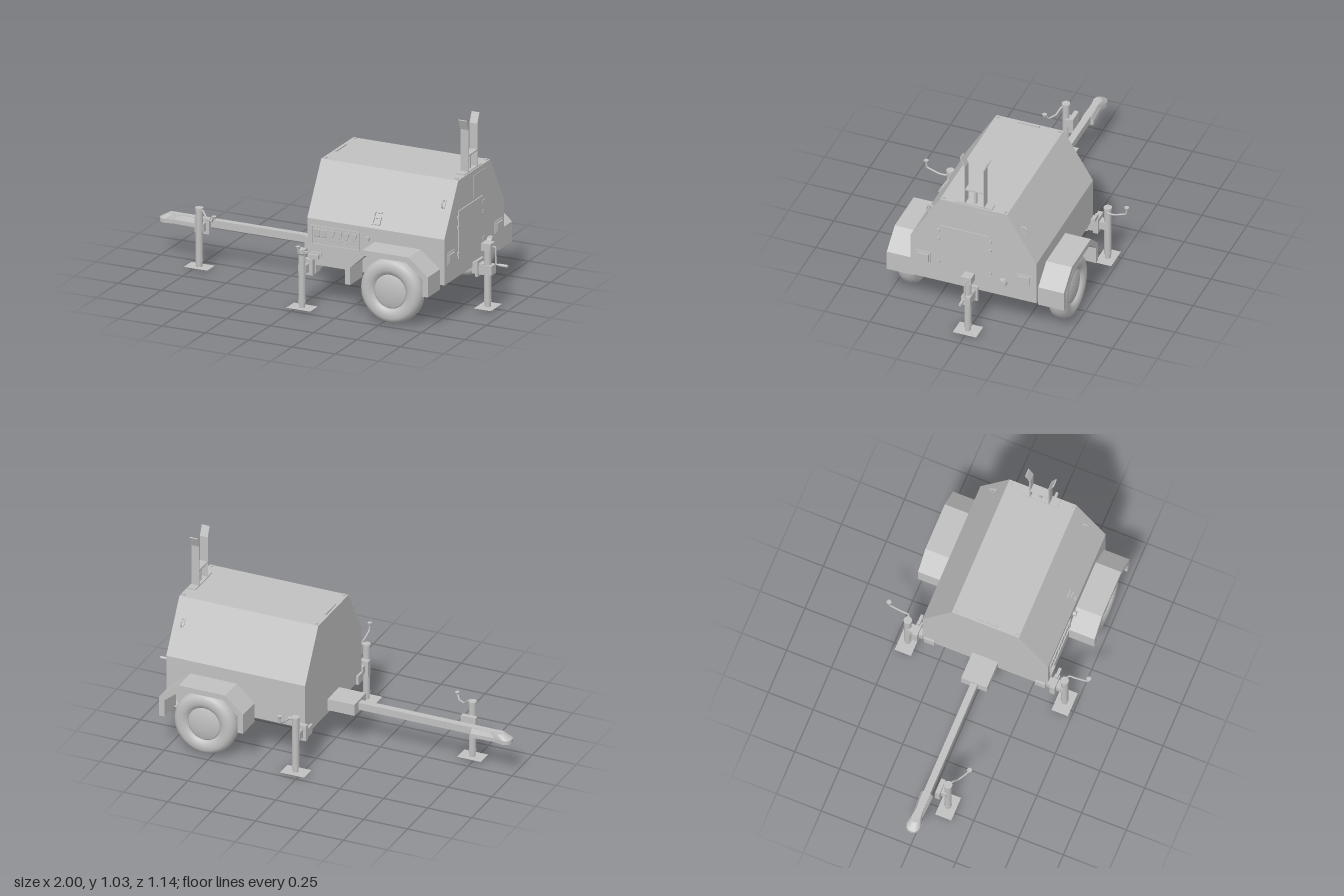
import * as THREE from 'three';

export function createModel() {
  const root = new THREE.Group();
  root.name = 'towableGenerator';
  const grey = new THREE.MeshStandardMaterial({ color: 0xc0c0c0 });
  grey.name = 'painted grey';
  grey.side = THREE.DoubleSide;

  const add = (parent, name, geo, x = 0, y = 0, z = 0) => {
    const m = new THREE.Mesh(geo, grey);
    m.name = name;
    m.position.set(x, y, z);
    parent.add(m);
    return m;
  };
  // Box given by its limits on each axis
  const box = (parent, name, x0, x1, y0, y1, z0, z1) =>
    add(parent, name, new THREE.BoxGeometry(x1 - x0, y1 - y0, z1 - z0), (x0 + x1) / 2, (y0 + y1) / 2, (z0 + z1) / 2);
  const cyl = (parent, name, r, y0, y1, x = 0, z = 0, sides = 20) =>
    add(parent, name, new THREE.CylinderGeometry(r, r, y1 - y0, sides), x, (y0 + y1) / 2, z);
  const rod = (parent, name, pts, r = 0.005) => {
    const curve = new THREE.CatmullRomCurve3(pts.map(p => new THREE.Vector3(...p)), false, 'catmullrom', 0.15);
    return add(parent, name, new THREE.TubeGeometry(curve, 32, r, 8), 0, 0, 0);
  };
  const poly = pts => new THREE.Shape(pts.map(p => new THREE.Vector2(...p)));
  const extrude = (shape, depth) => new THREE.ExtrudeGeometry(shape, { depth, bevelEnabled: false, curveSegments: 16 });
  const group = (name, x = 0, y = 0, z = 0) => {
    const g = new THREE.Group();
    g.name = name;
    g.position.set(x, y, z);
    root.add(g);
    return g;
  };

  // Housing with sloping upper sides
  const bodyGeo = extrude(poly([[-0.35, 0.22], [0.35, 0.22], [0.35, 0.47], [0.187, 0.743], [-0.187, 0.743], [-0.35, 0.47]]), 0.79);
  bodyGeo.rotateY(Math.PI / 2);
  add(root, 'housing', bodyGeo, 0.017, 0, 0);
  for (const x of [0.035, 0.79]) for (const z of [-0.17, 0.17]) cyl(root, 'roofBolt', 0.008, 0.743, 0.75, x, z, 10);
  box(root, 'roofHandle', 0.03, 0.042, 0.743, 0.75, -0.06, 0.06);

  // Chassis: cross beam, rail ends and axle
  box(root, 'crossBeam', 0.017, 0.055, 0.175, 0.22, -0.38, 0.38);
  const axle = cyl(root, 'axle', 0.012, -0.4, 0.4);
  axle.rotation.x = Math.PI / 2;
  axle.position.set(0.545, 0.185, 0);
  for (const z of [-0.31, 0.31]) box(root, 'railEnd', 0.005, 0.06, 0.168, 0.218, z - 0.028, z + 0.028);

  // Drawbar and coupler
  box(root, 'drawbarSocket', -0.135, 0.017, 0.192, 0.257, -0.072, 0.072);
  box(root, 'drawbar', -0.95, -0.13, 0.203, 0.243, -0.018, 0.018);
  const couplerShape = new THREE.Shape();
  couplerShape.moveTo(-0.78, -0.034);
  couplerShape.lineTo(-0.78, 0.034);
  couplerShape.lineTo(-0.91, 0.027);
  couplerShape.lineTo(-0.96, 0.037);
  couplerShape.quadraticCurveTo(-1, 0.035, -1, 0);
  couplerShape.quadraticCurveTo(-1, -0.035, -0.96, -0.037);
  couplerShape.lineTo(-0.91, -0.027);
  const lower = extrude(couplerShape, 0.022);
  lower.rotateX(-Math.PI / 2);
  add(root, 'couplerBase', lower, 0, 0.193, 0);
  const upper = extrude(couplerShape, 0.026);
  upper.rotateX(-Math.PI / 2);
  const up = upper.attributes.position;
  for (let i = 0; i < up.count; i++) // taper the top of the coupler
    if (up.getY(i) > 0.01) up.setXYZ(i, -0.78 + (up.getX(i) + 0.78) * 0.8, up.getY(i), up.getZ(i) * 0.65);
  upper.computeVertexNormals();
  add(root, 'couplerTop', upper, 0, 0.215, 0);

  // Wheels and fenders
  const tyreProfile = [[0.09, -0.028], [0.1, -0.042], [0.12, -0.05], [0.145, -0.05], [0.163, -0.04], [0.173, -0.02], [0.175, 0],
    [0.173, 0.02], [0.163, 0.04], [0.145, 0.05], [0.12, 0.05], [0.1, 0.042], [0.09, 0.028]];
  const hubProfile = [[0.094, 0], [0.094, 0.03], [0.085, 0.034], [0.06, 0.041], [0.03, 0.045], [0, 0.046]];
  const lathe = pts => new THREE.LatheGeometry(pts.map(p => new THREE.Vector2(...p)), 48);
  const fenderShape = poly([[0.305, 0.195], [0.305, 0.305], [0.405, 0.397], [0.67, 0.397], [0.782, 0.305], [0.782, 0.195],
    [0.752, 0.195], [0.752, 0.29], [0.657, 0.367], [0.418, 0.367], [0.335, 0.29], [0.335, 0.195]]);
  for (const s of [1, -1]) {
    const wheel = group(s > 0 ? 'frontWheel' : 'backWheel', 0.545, 0.178, s * 0.42);
    wheel.rotation.x = s * Math.PI / 2;
    add(wheel, 'tyre', lathe(tyreProfile));
    add(wheel, 'hub', lathe(hubProfile));
    add(wheel, 'innerHub', lathe(hubProfile.map(([r, y]) => [r, -y * 0.6])));
    add(root, 'fender', extrude(fenderShape, 0.145), 0, 0, s > 0 ? 0.348 : -0.493);
  }

  // Jacks: foot, telescoping post and clamp
  const jack = (name, x, z, top, fw, fd) => {
    const g = group(name, x, 0, z);
    const foot = new THREE.CylinderGeometry(Math.SQRT1_2, 0.5, 0.009, 4);
    foot.rotateY(Math.PI / 4);
    foot.scale(fw, 1, fd);
    foot.deleteAttribute('normal');
    const flat = foot.toNonIndexed();
    flat.computeVertexNormals();
    add(g, 'foot', flat, 0, 0.0055, 0);
    cyl(g, 'innerPost', 0.016, 0.008, 0.1);
    cyl(g, 'collar', 0.02, 0.035, 0.05);
    cyl(g, 'outerPost', 0.019, 0.05, top);
    cyl(g, 'cap', 0.022, top - 0.012, top);
    return g;
  };
  const knob = (g, x, y, z) => add(g, 'knob', new THREE.CylinderGeometry(0.013, 0.008, 0.016, 14), x, y, z);

  const tongue = jack('tongueJack', -0.73, 0.098, 0.332, 0.135, 0.09);
  box(tongue, 'clamp', -0.042, 0.042, 0.18, 0.265, -0.055, -0.03);
  box(tongue, 'pivot', -0.025, 0.025, 0.2, 0.245, -0.04, 0);
  rod(tongue, 'crank', [[0, 0.32, 0], [0.03, 0.32, 0.015], [0.06, 0.29, 0.032], [0.1, 0.288, 0.055], [0.118, 0.315, 0.07]]);
  knob(tongue, 0.12, 0.316, 0.071);

  for (const s of [1, -1]) {
    const g = jack(s > 0 ? 'frontStabilizer' : 'backStabilizer', 0.03, s * 0.438, 0.33, 0.137, 0.092);
    const zs = (a, b) => [Math.min(s * a, s * b), Math.max(s * a, s * b)];
    box(g, 'clamp', -0.04, 0.04, 0.175, 0.262, ...zs(-0.068, -0.04));
    box(g, 'pivot', -0.022, 0.022, 0.195, 0.24, ...zs(-0.09, 0));
    rod(g, 'lockPin', [[0.03, 0.23, -s * 0.05], [0.03, 0.28, -s * 0.05], [0.06, 0.28, -s * 0.05]]);
    box(g, 'lockGrip', 0.015, 0.07, 0.265, 0.288, ...zs(-0.06, -0.045));
    rod(g, 'crank', [[0, 0.318, 0], [0.035, 0.318, s * 0.01], [0.037, 0.32, s * 0.05], [0.037, 0.342, s * 0.115], [0.037, 0.375, s * 0.12]]);
    knob(g, 0.037, 0.378, s * 0.12);
  }

  const rear = jack('rearJack', 0.885, 0, 0.33, 0.1, 0.13);
  box(rear, 'gearbox', -0.025, 0.028, 0.318, 0.36, -0.028, 0.028);
  box(rear, 'mountArm', -0.08, -0.01, 0.185, 0.245, -0.022, 0.022);
  box(rear, 'clamp', -0.055, -0.04, 0.175, 0.262, -0.038, 0.038);
  box(rear, 'strap', -0.04, 0.035, 0.19, 0.24, -0.025, 0.025);
  rod(rear, 'crank', [[0.02, 0.338, 0], [0.045, 0.338, 0], [0.047, 0.25, 0], [0.06, 0.245, 0], [0.11, 0.245, 0]]);
  const grip = cyl(rear, 'crankGrip', 0.008, -0.025, 0.025);
  grip.rotation.z = Math.PI / 2;
  grip.position.set(0.09, 0.245, 0);

  // Flared mast cradle on the roof
  const cradle = group('mastCradle', 0.755);
  box(cradle, 'basePlate', 0, 0.045, 0.743, 0.749, -0.1, 0.1);
  box(cradle, 'crossBar', 0, 0.045, 0.832, 0.839, -0.052, 0.052);
  box(cradle, 'centrePost', 0.015, 0.03, 0.745, 0.835, -0.007, 0.007);
  for (const s of [1, -1]) {
    const arm = extrude(poly([[s * 0.05, 0.745], [s * 0.056, 0.745], [s * 0.056, 0.978], [s * 0.08, 1.033], [s * 0.074, 1.035], [s * 0.05, 0.98]]), 0.045);
    arm.rotateY(Math.PI / 2);
    add(cradle, 'arm', arm);
  }

  // Rear face: door, hinges, hatch, lights and socket
  const X = 0.806;
  box(root, 'rearDoor', X, X + 0.006, 0.315, 0.578, -0.09, 0.19);
  box(root, 'rearHatch', X, X + 0.003, 0.595, 0.717, -0.132, 0.015);
  for (const z of [-0.093, 0.193]) for (const y of [0.345, 0.49, 0.545])
    box(root, 'hinge', X, X + 0.009, y - 0.008, y + 0.008, z - 0.008, z + 0.008);
  for (const z of [-0.28, 0.28]) {
    box(root, 'tailLightBase', X, X + 0.006, 0.32, 0.386, z - 0.041, z + 0.041);
    box(root, 'tailLight', X + 0.006, X + 0.014, 0.33, 0.376, z - 0.033, z + 0.033);
  }
  const socket = cyl(root, 'socket', 0.024, -0.014, 0.014);
  socket.rotation.z = Math.PI / 2;
  socket.position.set(X + 0.014, 0.307, -0.165);
  box(root, 'socketCap', X, X + 0.022, 0.318, 0.33, -0.178, -0.152);

  // Control panel frame, breakers and outlets on the front side
  const Z = 0.35;
  const frame = poly([[0.042, 0.332], [0.318, 0.332], [0.318, 0.437], [0.042, 0.437]]);
  frame.holes.push(poly([[0.048, 0.338], [0.048, 0.431], [0.312, 0.431], [0.312, 0.338]]));
  add(root, 'panelFrame', extrude(frame, 0.006), 0, 0, Z);
  for (let i = 0; i < 4; i++) {
    const slot = add(root, 'breaker', new THREE.CapsuleGeometry(0.007, 0.032, 4, 10), 0.064 + i * 0.019, 0.398, Z);
    slot.scale.z = 0.7;
  }
  for (let i = 0; i < 4; i++) {
    const x = 0.16 + i * 0.042;
    add(root, 'outlet', extrude(poly([[x - 0.016, 0.42], [x - 0.012, 0.395], [x, 0.38], [x + 0.012, 0.395], [x + 0.016, 0.42]]), 0.006), 0, 0, Z);
    const plug = cyl(root, 'outletPin', 0.006, -0.004, 0.004, 0, 0, 12);
    plug.rotation.x = Math.PI / 2;
    plug.position.set(x, 0.365, Z + 0.003);
  }
  const button = cyl(root, 'stopButton', 0.014, 0, 0.018);
  button.rotation.x = Math.PI / 2;
  button.position.set(0.365, 0.41, Z + 0.009);
  box(root, 'sidePlate', 0.045, 0.1, 0.268, 0.29, Z, Z + 0.008);

  // Latch and lifting handles lying on the sloping sides
  const slope = Math.atan2(0.163, 0.273);
  const onSlope = (name, s, x, y) => {
    const g = group(name, x, y, s * (0.35 - (y - 0.47) * 0.163 / 0.273));
    g.rotation.set(-slope, 0, 0);
    if (s < 0) g.rotation.set(slope, Math.PI, 0);
    return g;
  };
  const latch = onSlope('doorLatch', 1, 0.408, 0.517);
  box(latch, 'latchBar', -0.024, -0.015, -0.035, 0.035, 0, 0.009);
  for (const y of [-0.035, 0, 0.028]) box(latch, 'latchTab', -0.024, 0.024, y, y + 0.008, 0, 0.009);
  box(latch, 'latchEnd', 0.016, 0.024, -0.035, 0.008, 0, 0.009);
  for (const s of [1, -1]) {
    const h = onSlope('liftHandle', s, 0.757, 0.627);
    box(h, 'handlePlate', -0.011, 0.011, -0.023, 0.023, 0, 0.005);
    rod(h, 'handleLoop', [[0, -0.02, 0], [0, -0.017, 0.017], [0, 0, 0.023], [0, 0.017, 0.017], [0, 0.02, 0]], 0.004);
  }
  return root;
}
